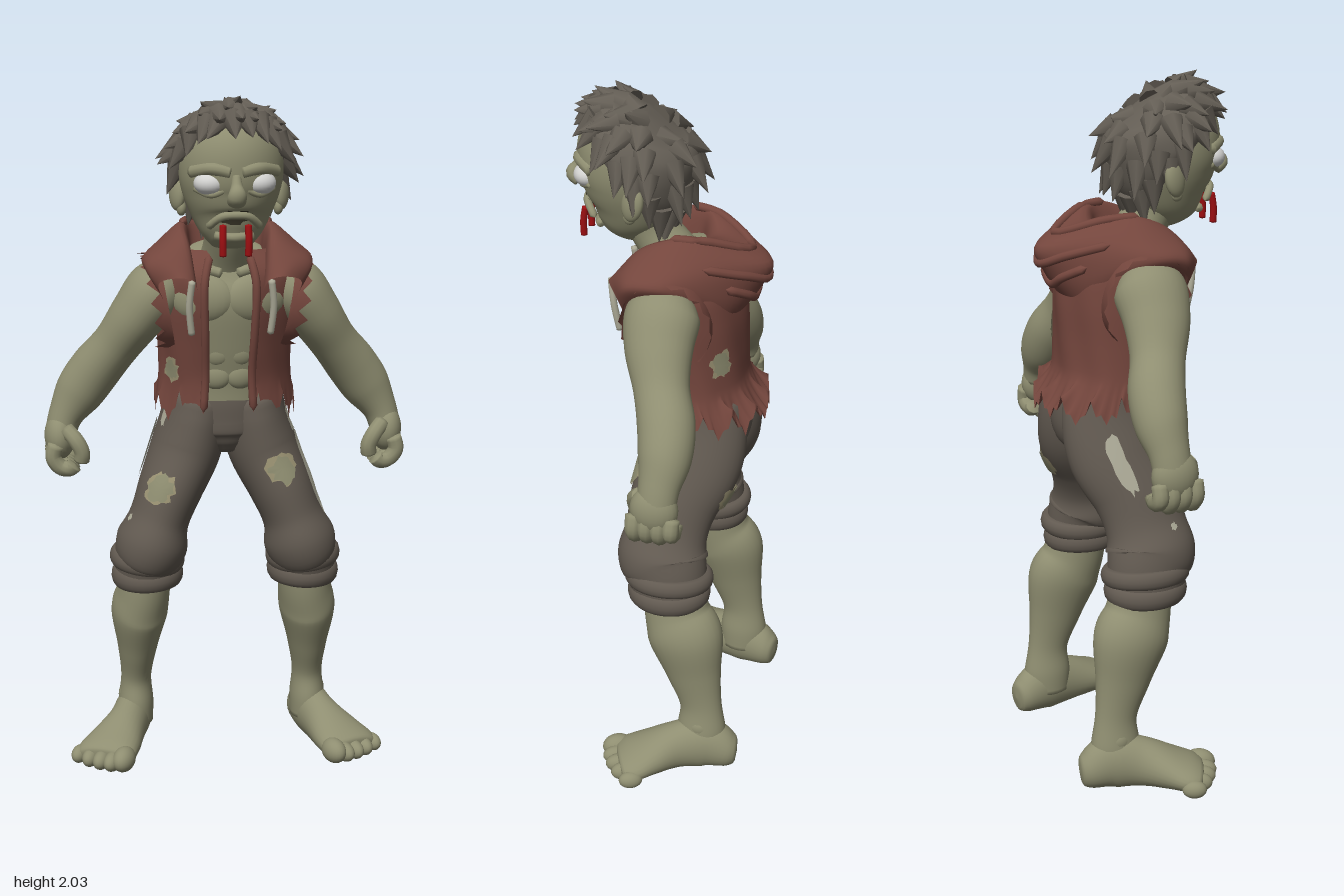
import * as THREE from 'three';

const flat = (name, color) => Object.assign(new THREE.MeshStandardMaterial({ color, side: THREE.DoubleSide }), { name });
const TAU = Math.PI * 2, V = (x, y, z) => new THREE.Vector3(x, y, z);
let seed = 7;
const rnd = () => (seed = (seed * 16807) % 2147483647) / 2147483647;

// Catmull-Rom interpolation of equally long rows of numbers, t in 0..1
function spline(rows, t) {
  const n = rows.length - 1, s = Math.min(Math.max(t, 0), 1) * n, i = Math.min(Math.floor(s), n - 1), f = s - i;
  const at = k => rows[Math.min(Math.max(k, 0), n)];
  const [a, b, c, d] = [at(i - 1), at(i), at(i + 1), at(i + 2)];
  return b.map((q, k) => q + 0.5 * f * (c[k] - a[k] + f * (2 * a[k] - 5 * q + 4 * c[k] - d[k] + f * (3 * (q - c[k]) + d[k] - a[k]))));
}

// Surface of f(u, v) as an indexed grid; du x dv points outward
function grid(f, nu, nv, closed) {
  const pos = [], idx = [], m = closed ? nv : nv + 1;
  for (let i = 0; i <= nu; i++) for (let j = 0; j < m; j++) pos.push(...f(i / nu, j / nv).toArray());
  for (let i = 0; i < nu; i++) for (let j = 0; j < nv; j++) {
    const k = (j + 1) % m, a = i * m + j, b = a + m, c = i * m + k, d = c + m;
    idx.push(a, b, c, c, b, d);
  }
  const g = new THREE.BufferGeometry();
  g.setAttribute('position', new THREE.Float32BufferAttribute(pos, 3));
  g.setIndex(idx);
  g.computeVertexNormals();
  return g;
}

// Rounded limb through sections [x, y, z, half width, half depth]
function limb(rows, ref = V(0, 0, 1)) {
  return (u, v) => {
    const r = spline(rows, u), p = spline(rows, u - 0.01), q = spline(rows, u + 0.01);
    const t = V(q[0] - p[0], q[1] - p[1], q[2] - p[2]).normalize();
    const b = ref.clone().addScaledVector(t, -ref.dot(t)).normalize(), a = t.clone().cross(b);
    const k = Math.min(1, Math.sqrt(Math.max(0, Math.min(u, 1 - u)) / 0.045));
    const o = V(r[0], r[1], r[2]).addScaledVector(a, r[3] * k * Math.cos(v * TAU)).addScaledVector(b, r[4] * k * Math.sin(v * TAU));
    o.y = Math.max(o.y, 0);
    return o;
  };
}
const mirror = (f, s) => s > 0 ? f : (u, v) => f(u, 1 - v).multiply(V(-1, 1, 1));

// Ragged patch lying just above a surface
function blob(f, u0, v0, ru, rv, lift = 0.005, n = 22) {
  const jag = Array.from({ length: n }, () => 0.65 + 0.45 * rnd());
  return grid((r, w) => {
    const k = r * jag[Math.round(w * n) % n], u = u0 + ru * k * Math.cos(w * TAU), v = v0 + rv * k * Math.sin(w * TAU);
    const p = f(u, v), e = 0.004;
    const nrm = f(u + e, v).sub(p).cross(f(u, v + e).sub(p)).normalize();
    return p.addScaledVector(nrm, lift);
  }, 5, n, true);
}

export function createModel() {
  const skin = flat('skin', 0x8f8e71), vestRed = flat('vest cloth', 0x74463d), trouser = flat('trouser cloth', 0x625a51);
  const hairMat = flat('hair', 0x645e55), white = flat('eye white', 0xd2d2d0), pale = flat('bare thread', 0xadab98);
  const fray = flat('torn edge', 0x9c9474), blood = flat('blood', 0x9c0f12), dark = flat('mouth dark', 0x3b3729);
  const model = new THREE.Group();
  model.name = 'ragged undead figure';
  const add = (name, geo, mat) => {
    const m = new THREE.Mesh(geo, mat);
    m.name = name;
    model.add(m);
    return m;
  };
  const ball = (name, mat, p, s, ry = 0, rx = 0) => {
    const m = add(name, new THREE.SphereGeometry(1, 24, 16), mat);
    m.position.set(...p); m.scale.set(...s); m.rotation.set(rx, ry, 0);
    return m;
  };
  const tube = (name, mat, pts, r) => add(name, grid(limb(pts.map(p => [...p, r, r]), V(0.31, 0.2, 0.93)), 18, 10, true), mat);

  // Torso and neck
  const torso = limb([[0, 1.08, -0.09, 0.16, 0.13], [0, 1.2, -0.078, 0.165, 0.126], [0, 1.32, -0.062, 0.18, 0.138],
    [0, 1.44, -0.05, 0.195, 0.148], [0, 1.52, -0.04, 0.175, 0.128], [0, 1.59, -0.02, 0.1, 0.08]]);
  add('torso', grid(torso, 32, 40, true), skin);
  add('neck', grid(limb([[0, 1.48, -0.05, 0.1, 0.09], [0, 1.56, 0, 0.078, 0.078], [0, 1.63, 0.05, 0.07, 0.07], [0, 1.7, 0.08, 0.08, 0.08]]), 18, 24, true), skin);

  // Head
  const head = limb([[0, 1.615, 0.15, 0.05, 0.055], [0, 1.65, 0.135, 0.084, 0.085], [0, 1.7, 0.118, 0.112, 0.122], [0, 1.76, 0.11, 0.136, 0.145],
    [0, 1.82, 0.107, 0.147, 0.16], [0, 1.88, 0.1, 0.142, 0.16], [0, 1.925, 0.088, 0.115, 0.13], [0, 1.95, 0.075, 0.065, 0.07]]);
  add('head', grid(head, 40, 40, true), skin);
  add('mouth', blob(head, 0.23, 0.25, 0.075, 0.085, 0.006), dark);
  add('nose', grid(limb([[0, 1.825, 0.255, 0.012, 0.015], [0, 1.795, 0.27, 0.017, 0.018], [0, 1.772, 0.283, 0.026, 0.023], [0, 1.752, 0.262, 0.026, 0.02]]), 16, 18, true), skin);
  tube('upper lip', skin, [[-0.075, 1.675, 0.2], [-0.04, 1.708, 0.232], [0, 1.714, 0.24], [0.04, 1.708, 0.232], [0.075, 1.675, 0.2]], 0.011);
  tube('lower lip', skin, [[-0.055, 1.652, 0.19], [0, 1.648, 0.208], [0.055, 1.652, 0.19]], 0.013);

  // Hair: a shell over the skull from the hairline up, with swept tufts
  const hairline = [[0.8], [0.77], [0.57], [0.29], [0.22]], skull = V(0, 1.82, 0.09);
  const front = v => Math.abs(((v - 0.25) % 1 + 1.5) % 1 - 0.5);
  const cap = (u, v) => {
    const h = spline(hairline, front(v) * 2)[0], p = head(h + (1 - h) * u, v);
    return p.addScaledVector(p.clone().sub(skull).normalize(), 0.014 * Math.min(1, u * 5));
  };
  add('hair', grid(cap, 18, 48, true), hairMat);
  [[0.08, 20], [0.28, 15], [0.5, 12], [0.74, 8], [0.92, 4]].forEach(([u, n], row) => {
    for (let j = 0; j < n; j++) {
      const v = (j + (row % 2) / 2 + 0.4 * rnd()) / n, f = front(v), l = (u > 0.7 ? 0.08 : 0.075 + 0.07 * f) * (0.85 + 0.3 * rnd());
      const p = cap(u, v), down = cap(u - 0.08, v).sub(p).normalize();
      const dir = p.clone().sub(skull).normalize().multiplyScalar(0.5).addScaledVector(down, 0.65).add(V(rnd() - 0.5, 0, -0.2).multiplyScalar(0.35)).normalize();
      const m = add('hair tuft', new THREE.ConeGeometry(0.037, l, 8), hairMat);
      m.position.copy(p).addScaledVector(dir, l * 0.2);
      m.quaternion.setFromUnitVectors(V(0, 1, 0), dir);
    }
  });

  // Vest body, open at the front with a ragged hem
  const vestRows = [[1.12, -0.1, 0.21, 0.158], [1.2, -0.085, 0.196, 0.143], [1.3, -0.07, 0.196, 0.152], [1.42, -0.055, 0.206, 0.165], [1.52, -0.045, 0.205, 0.157], [1.59, -0.04, 0.15, 0.11]];
  const hem = Array.from({ length: 73 }, (_, j) => (j % 6 === 2 ? 0.03 + 0.025 * rnd() : j % 6 === 5 ? -0.03 - 0.025 * rnd() : 0.015 * rnd()));
  const vest = (u, v) => {
    const [y, zc, rx, rz] = spline(vestRows, u), a = TAU - 0.36 - v * (TAU - 0.72);
    const low = Math.max(0, 1 - u / 0.2), s = v * 72, j = Math.min(Math.floor(Math.max(s, 0)), 71);
    const z = hem[j] + (hem[j + 1] - hem[j]) * (s - j), fold = 1 + 0.014 * Math.sin(a * 9 + u * 8);
    return V(Math.sin(a) * rx * fold, y - low * z, zc + Math.cos(a) * rz * fold - low * 0.03 * Math.max(0, -Math.cos(a)));
  };
  add('vest', grid(vest, 28, 144), vestRed);
  for (const v of [0, 1]) tube('vest front edge', vestRed, [0.01, 0.25, 0.5, 0.75, 0.95].map(u => vest(u, v).toArray()), 0.012);
  for (const [u, v, k] of [[0.27, 0.11, 1], [0.4, 0.64, 1.1]]) {
    add('vest tear edge', blob(vest, u, v, 0.08 * k, 0.036 * k, 0.004), fray);
    add('vest tear', blob(vest, u, v, 0.066 * k, 0.03 * k, 0.007), skin);
  }

  // Hood lying on the shoulders: columns from back to front, each from neck edge to outer edge
  const half = [[0, 1.54, -0.07, 0, 1.63, -0.13, 0, 1.575, -0.285, 0, 1.49, -0.26, 0, 1.39, -0.19],
    [0.09, 1.54, -0.06, 0.095, 1.655, -0.09, 0.115, 1.595, -0.185, 0.125, 1.5, -0.19, 0.12, 1.42, -0.17],
    [0.1, 1.54, -0.01, 0.125, 1.655, -0.02, 0.2, 1.6, -0.05, 0.235, 1.55, -0.05, 0.2, 1.5, -0.05],
    [0.1, 1.53, 0.05, 0.12, 1.61, 0.065, 0.195, 1.585, 0.07, 0.24, 1.545, 0.06, 0.2, 1.48, 0.05],
    [0.09, 1.46, 0.09, 0.105, 1.51, 0.13, 0.15, 1.525, 0.14, 0.205, 1.5, 0.1, 0.17, 1.42, 0.08]];
  const cols = [...half.slice(1).reverse().map(c => c.map((q, i) => i % 3 ? q : -q)), ...half];
  const hood = (u, v) => {
    const c = spline(cols, u);
    return V(...spline([0, 3, 6, 9, 12].map(i => c.slice(i, i + 3)), v));
  };
  add('hood', grid(hood, 56, 24), vestRed);
  for (const [v, w] of [[0.4, 0.24], [0.66, 0.18], [0.82, 0.13]])
    tube('hood fold', vestRed, [-1, -0.5, 0, 0.5, 1].map(k => hood(0.5 + k * w, v - 0.14 * Math.abs(k)).toArray()), 0.013);

  // Trouser seat between the legs
  const seat = limb([[0, 1.175, -0.09, 0.16, 0.13], [0, 1.13, -0.092, 0.165, 0.137], [0, 1.08, -0.098, 0.16, 0.142], [0, 1.03, -0.098, 0.15, 0.138], [0, 0.99, -0.092, 0.1, 0.115], [0, 0.955, -0.085, 0.04, 0.08]]);
  add('trouser seat', grid(seat, 30, 40, true), trouser);

  for (const s of [1, -1]) {
    const side = s > 0 ? 'left ' : 'right ';
    // Face details
    ball(side + 'eye', white, [s * 0.069, 1.8, 0.22], [0.045, 0.033, 0.04], s * 0.3);
    tube(side + 'brow', skin, [[s * 0.012, 1.832, 0.256], [s * 0.065, 1.842, 0.243], [s * 0.12, 1.828, 0.19]], 0.018);
    tube(side + 'lower eyelid', skin, [[s * 0.03, 1.784, 0.246], [s * 0.069, 1.77, 0.236], [s * 0.11, 1.785, 0.198]], 0.009);
    ball(side + 'ear', skin, [s * 0.148, 1.758, 0.07], [0.02, 0.052, 0.034], s * -0.4, -0.2);
    ball(side + 'ear lobe', skin, [s * 0.137, 1.715, 0.082], [0.014, 0.022, 0.018]);
    tube(side + 'blood drip', blood, [[s * 0.035, 1.69, 0.24], [s * 0.036, 1.645, 0.247], [s * 0.035, 1.6, 0.246]], 0.01);

    // Chest and stomach muscles
    ball(side + 'chest muscle', skin, [s * 0.075, 1.45, 0.055], [0.095, 0.075, 0.045], s * 0.28);
    [[1.36, 0.055], [1.29, 0.046], [1.22, 0.036]].forEach(([y, z]) => ball(side + 'stomach muscle', skin, [s * 0.036, y, z], [0.045, 0.042, 0.024], s * 0.2));
    tube(side + 'collar bone', skin, [[s * 0.02, 1.525, 0.072], [s * 0.08, 1.54, 0.055], [s * 0.15, 1.55, 0.015]], 0.015);

    // Ragged armhole and hood cord
    const rag = Array.from({ length: 30 }, (_, j) => (j % 2 ? 0.03 : 0) + 0.015 * rnd());
    add(side + 'armhole', grid((u, v) => {
      const a = v * TAU, r = rag[Math.round(v * 30) % 30], c = Math.cos(a);
      return V(s * (0.175 + 0.025 * c + u * (0.015 + r)), 1.43 + (0.142 - u * 0.004) * c, -0.04 + (0.125 + u * 0.004) * Math.sin(a));
    }, 3, 30, true), vestRed);
    tube(side + 'hood cord', pale, [[s * 0.112, 1.52, 0.145], [s * 0.12, 1.44, 0.135], [s * 0.112, 1.355, 0.12]], 0.01);

    // Arm and curled hand
    const arm = limb([[0.15, 1.51, -0.04, 0.06, 0.07], [0.2, 1.465, -0.03, 0.088, 0.105], [0.258, 1.39, -0.035, 0.081, 0.096], [0.32, 1.3, -0.06, 0.071, 0.078],
      [0.38, 1.222, -0.09, 0.076, 0.08], [0.43, 1.15, -0.1, 0.073, 0.074], [0.472, 1.08, -0.095, 0.052, 0.058], [0.49, 1.02, -0.09, 0.046, 0.056]]);
    add(side + 'arm', grid(mirror(arm, s), 44, 28, true), skin);
    ball(side + 'palm', skin, [s * 0.491, 1.02, -0.086], [0.046, 0.072, 0.068]);
    for (let i = 0; i < 4; i++) {
      const z = -0.138 + i * 0.035, d = i === 0 ? 0.012 : 0;
      tube(side + 'finger', skin, [[s * 0.502, 1.01, z], [s * 0.513, 0.968, z], [s * 0.493, 0.937 + d, z], [s * 0.465, 0.932 + d, z + 0.004], [s * 0.448, 0.945 + d, z + 0.006]], 0.024);
    }
    tube(side + 'thumb', skin, [[s * 0.475, 1.05, -0.045], [s * 0.445, 1.02, -0.02], [s * 0.428, 0.985, -0.018], [s * 0.43, 0.955, -0.025]], 0.024);

    // Trouser leg with rolled cuffs
    const leg = mirror(limb([[0.07, 1.175, -0.09, 0.1, 0.132], [0.086, 1.08, -0.097, 0.1, 0.15], [0.116, 0.97, -0.09, 0.105, 0.15], [0.165, 0.86, -0.055, 0.096, 0.132], [0.2, 0.77, -0.04, 0.09, 0.122],
      [0.222, 0.7, -0.035, 0.108, 0.134], [0.235, 0.65, -0.05, 0.1, 0.12], [0.24, 0.56, -0.06, 0.095, 0.11]]), s);
    add(side + 'trouser leg', grid(leg, 48, 36, true), trouser);
    [[0.64, 0.096, 0.112, 0.24], [0.59, 0.09, 0.102, 0.28]].forEach(([y, rx, rz, thick], i) => {
      const cuff = add(side + 'trouser cuff', new THREE.TorusGeometry(1, thick * 0.75, 12, 36), trouser);
      cuff.rotation.set(Math.PI / 2, s * (0.1 - i * 0.14), 0); cuff.scale.set(rx, rz, 0.15); cuff.position.set(s * 0.237, y, -0.058);
    });
    const w = v => s > 0 ? v : 1 - v;
    const hole = (u, v, ru, rv) => {
      add(side + 'trouser hole edge', blob(leg, u, w(v), ru, rv, 0.004), fray);
      add(side + 'trouser hole', blob(leg, u, w(v), ru * 0.85, rv * 0.85, 0.007), skin);
    };
    hole(s > 0 ? 0.385 : 0.45, s > 0 ? 0.295 : 0.33, 0.055, 0.08);
    const strips = s > 0 ? [[0.41, 0.45, 0.2, 0.03], [0.18, 0.43, 0.07, 0.016]] : [[0.32, 0.55, 0.13, 0.03], [0.17, 0.43, 0.06, 0.018], [0.6, 0.44, 0.02, 0.015]];
    for (const [u, v, ru, rv] of strips) add(side + 'bare thread strip', blob(leg, u, w(v), ru, rv), pale);
    if (s > 0) hole(0.35, 0.76, 0.045, 0.085);

    // Shin, foot and toes
    const shin = limb([[0.235, 0.63, -0.07, 0.075, 0.09], [0.247, 0.53, -0.085, 0.08, 0.098], [0.26, 0.45, -0.115, 0.086, 0.113], [0.266, 0.33, -0.142, 0.062, 0.085],
      [0.27, 0.22, -0.166, 0.047, 0.064], [0.272, 0.13, -0.17, 0.055, 0.074], [0.275, 0.05, -0.17, 0.055, 0.07]]);
    add(side + 'shin', grid(mirror(shin, s), 40, 28, true), skin);
    const foot = limb([[0.262, 0.055, -0.28, 0.03, 0.04], [0.268, 0.06, -0.25, 0.05, 0.06], [0.28, 0.08, -0.18, 0.058, 0.085], [0.305, 0.072, -0.1, 0.062, 0.075],
      [0.345, 0.054, -0.02, 0.085, 0.056], [0.374, 0.042, 0.03, 0.094, 0.043], [0.388, 0.034, 0.06, 0.075, 0.03]], V(0, 1, 0));
    add(side + 'foot', grid(mirror(foot, s), 32, 28, true), skin);
    for (let i = 0; i < 5; i++) {
      const k = i / 4, r = i ? 0.031 - 0.001 * i : 0.038;
      ball(side + 'toe', skin, [s * (0.322 + 0.132 * k), r + 0.003, 0.08 - 0.062 * k * k - 0.004 * i], [r * 0.88, r, 0.048 - 0.003 * i], s * 0.42);
    }
    ball(side + 'ankle', skin, [s * 0.304, 0.15, -0.17], [0.022, 0.034, 0.034]);
  }
  return model;
}
